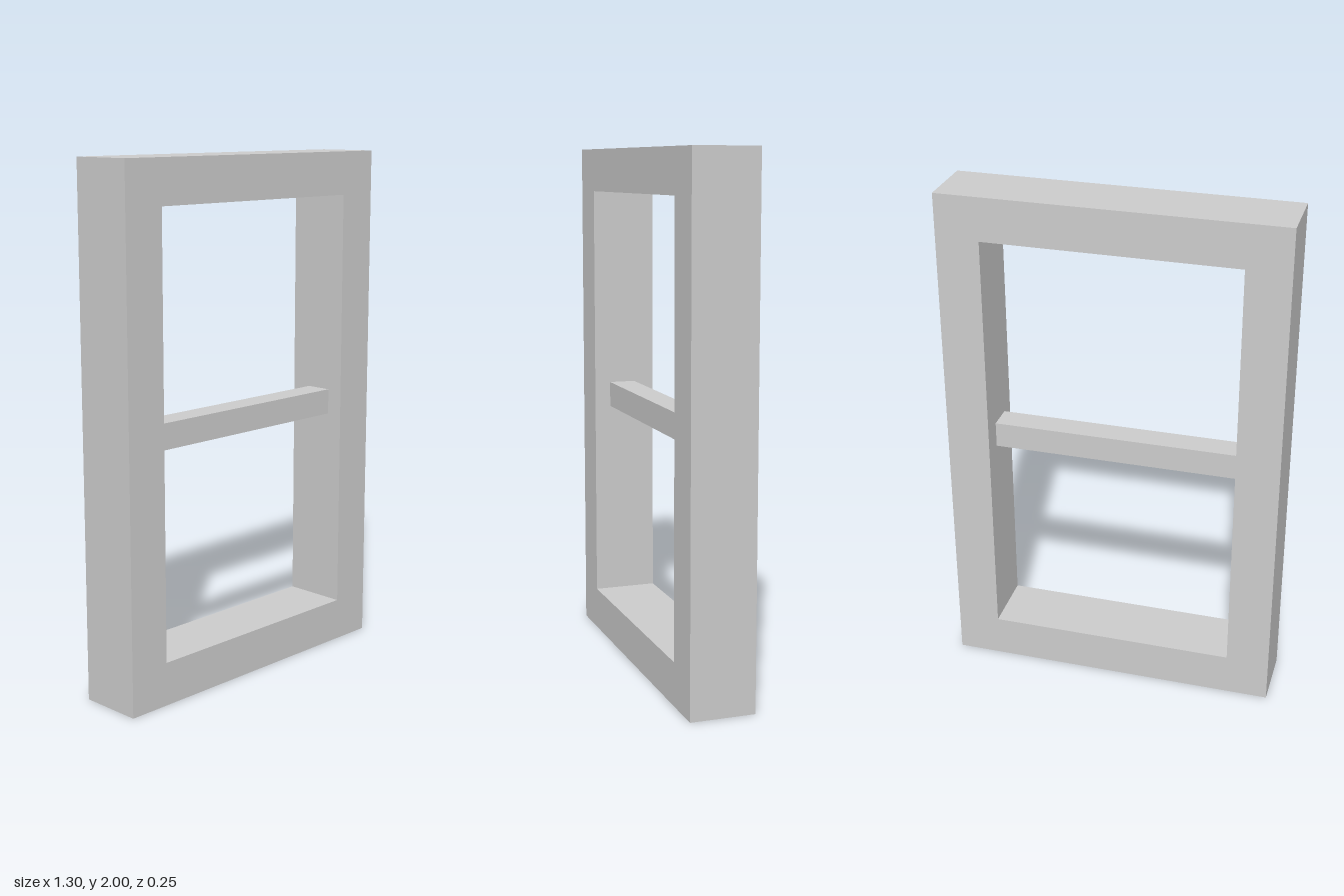
import * as THREE from 'three';

const WIDTH = 1.3, HEIGHT = 2, DEPTH = 0.25, BORDER = 0.167;

// Rectangle outline from its left, bottom, right and top edges
function rectangle(Type, l, b, r, t) {
  return new Type([[l, b], [r, b], [r, t], [l, t]].map(([x, y]) => new THREE.Vector2(x, y)));
}

export function createModel() {
  const group = new THREE.Group();
  group.name = 'windowFrame';
  const material = new THREE.MeshStandardMaterial({ color: 0xcccccc, flatShading: true });

  // Outer frame: one rectangular ring with a single large opening
  const outline = rectangle(THREE.Shape, -WIDTH / 2, 0, WIDTH / 2, HEIGHT);
  const innerX = WIDTH / 2 - BORDER;
  outline.holes.push(rectangle(THREE.Path, -innerX, BORDER, innerX, HEIGHT - BORDER));
  const frameGeometry = new THREE.ExtrudeGeometry(outline, { depth: DEPTH, bevelEnabled: false });
  frameGeometry.translate(0, 0, -DEPTH / 2);
  const frame = new THREE.Mesh(frameGeometry, material);
  frame.name = 'outerFrame';
  group.add(frame);

  // Horizontal bar across the opening, set slightly towards the front
  const bar = new THREE.Mesh(new THREE.BoxGeometry(innerX * 2, 0.1, 0.104), material);
  bar.name = 'crossBar';
  bar.position.set(0, HEIGHT / 2, 0.009);
  group.add(bar);

  return group;
}
